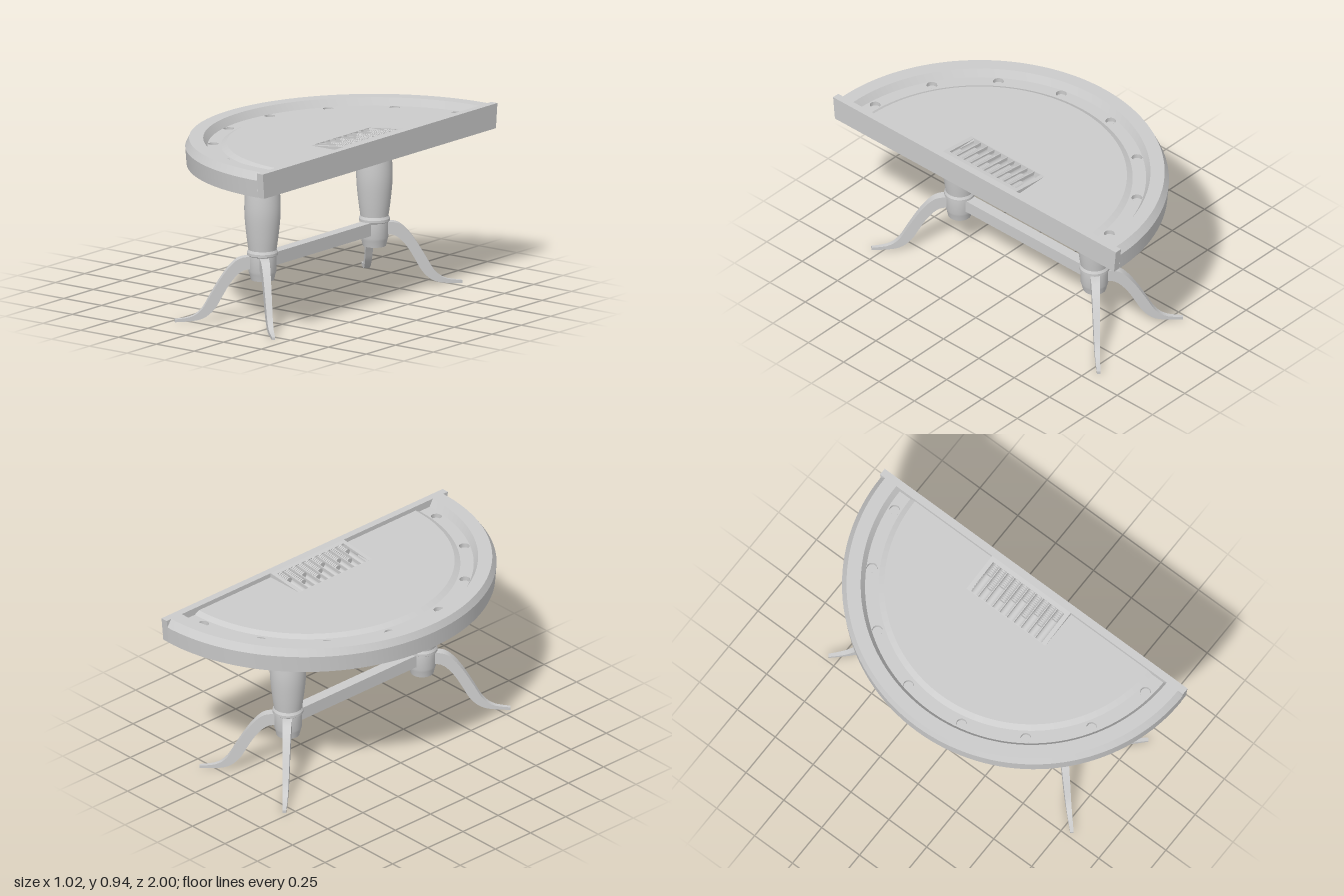
import * as THREE from 'three';
import { toCreasedNormals } from 'three/addons/utils/BufferGeometryUtils.js';

const material = new THREE.MeshStandardMaterial({ color: 0xcccccc, side: THREE.DoubleSide });
const EDGE = 0.47;   // x of the straight side, centre of the half circle
const LEDGE = 0.9;   // height of the cup ledge
const FELT = 0.916;  // height of the playing surface
const V = (x, y) => new THREE.Vector2(x, y);

function add(parent, name, geometry, x = 0, y = 0, z = 0) {
  const mesh = new THREE.Mesh(geometry, material);
  mesh.name = name;
  mesh.position.set(x, y, z);
  parent.add(mesh);
  return mesh;
}

const profile = points => points.map(p => V(...p));
const lathe = (points, segments) =>
  toCreasedNormals(new THREE.LatheGeometry(profile(points), segments), 0.45);
const halfLathe = points => new THREE.LatheGeometry(profile(points), 72, Math.PI, Math.PI);
const flat = shape => new THREE.ShapeGeometry(shape, 36).rotateX(-Math.PI / 2);

function rectangle(x0, x1, half) {
  return [V(x0, -half), V(x1, -half), V(x1, half), V(x0, half)];
}

function createTop() {
  const top = new THREE.Group();
  top.name = 'tableTop';

  // Underside, outer apron, chamfered rail and sloping inner wall;
  // the apron is slightly wider along z than the rail's upper edge
  const rail = halfLathe([
    [0, 0.807], [0.975, 0.807], [0.982, 0.9], [0.967, 0.94], [0.893, 0.94], [0.87, LEDGE]
  ]);
  const p = rail.attributes.position;
  for (let i = 0; i < p.count; i++) {
    if (Math.hypot(p.getX(i), p.getZ(i)) > 0.97) p.setZ(i, p.getZ(i) * 1.014);
  }
  add(top, 'rail', toCreasedNormals(rail, 0.3), EDGE);

  // Straight wall with slanted ends
  const wall = new THREE.Shape([V(-0.987, 0.807), V(0.987, 0.807), V(1, 0.94), V(-1, 0.94)]);
  add(top, 'straightWall',
    new THREE.ExtrudeGeometry(wall, { depth: 0.04, bevelEnabled: false }).rotateY(Math.PI / 2), EDGE);

  // Outer ledge with cup holes
  const ledge = new THREE.Shape();
  ledge.absarc(EDGE, 0, 0.872, Math.PI / 2, Math.PI * 1.5, false);
  ledge.absarc(EDGE, 0, 0.8, Math.PI * 1.5, Math.PI / 2, true);
  const cup = lathe([[0, 0], [0.028, 0], [0.028, 0.024]], 24);
  for (const [x, z] of [[0.372, 0.828], [0.045, 0.725], [-0.213, 0.49], [-0.355, 0.175]]) {
    for (const side of [-1, 1]) {
      const hole = new THREE.Path();
      hole.absarc(x, side * z, 0.028, 0, Math.PI * 2, true);
      ledge.holes.push(hole);
      add(top, 'cupHolder', cup, x, LEDGE - 0.024, side * z);
    }
  }
  add(top, 'ledge', flat(ledge), 0, LEDGE);

  // Raised playing surface, notched for the tray
  add(top, 'surfaceEdge', halfLathe([[0.8, LEDGE], [0.77, FELT]]), EDGE);
  const felt = new THREE.Shape();
  felt.absarc(EDGE, 0, 0.77, Math.PI / 2, Math.PI * 1.5, false);
  felt.lineTo(EDGE, -0.236);
  felt.lineTo(0.252, -0.236);
  felt.lineTo(0.252, 0.236);
  felt.lineTo(EDGE, 0.236);
  add(top, 'playingSurface', flat(felt), 0, FELT);

  top.add(createTray());
  return top;
}

function createTray() {
  const tray = new THREE.Group();
  tray.name = 'chipTray';
  const run = 0.22, rise = 0.94 - FELT, slope = Math.hypot(rise, run);

  // Side wedges carrying the tilted tray
  const wedge = new THREE.Shape([V(0, 0), V(run, 0), V(run, rise)]);
  const wedgeGeometry = new THREE.ExtrudeGeometry(wedge, { depth: 0.025, bevelEnabled: false });
  for (const z of [-0.26, 0.235]) add(tray, 'trayWedge', wedgeGeometry, 0.25, FELT, z);

  const tilted = new THREE.Group();
  tilted.name = 'tiltedTray';
  tilted.position.set(0.25, FELT, 0);
  tilted.rotation.z = Math.atan2(rise, run);
  tray.add(tilted);

  const frame = new THREE.Shape(rectangle(0, slope, 0.26));
  frame.holes.push(new THREE.Path(rectangle(0.004, 0.197, 0.235)));
  add(tilted, 'trayFrame', flat(frame));
  const end = new THREE.BoxGeometry(0.004, 0.04, 0.47);
  for (const x of [0.002, 0.199]) add(tilted, 'trayEnd', end, x, -0.0205);

  // Half-round troughs between dividers, each with a stack of chips on edge
  const rows = 10, pitch = 0.47 / rows, axis = -0.016;
  const trough = new THREE.CylinderGeometry(pitch / 2, pitch / 2, 0.194, 10, 1, true, 0, Math.PI)
    .rotateZ(-Math.PI / 2);
  const divider = new THREE.BoxGeometry(0.194, 0.018, 0.005);
  const chip = new THREE.CylinderGeometry(0.019, 0.019, 0.009, 14).rotateZ(Math.PI / 2);
  const counts = [6, 11, 7, 12, 9, 6, 12, 8, 11, 5];
  counts.forEach((count, i) => {
    const z = (i - (rows - 1) / 2) * pitch;
    add(tilted, 'trough', trough, 0.1005, axis, z);
    if (i > 0) add(tilted, 'divider', divider, 0.1005, -0.01, z - pitch / 2);
    for (let k = 0; k < count; k++) add(tilted, 'chip', chip, 0.191 - k * 0.0115, axis, z);
  });
  return tray;
}

// Curved leg: side outline extruded, then narrowed towards the foot
function legGeometry() {
  const upper = [[0.04, 0.345], [0.115, 0.338], [0.165, 0.303], [0.215, 0.24], [0.27, 0.15],
    [0.318, 0.07], [0.375, 0.028], [0.462, 0.015]];
  const lower = [[0.462, 0], [0.36, 0.006], [0.3, 0.025], [0.25, 0.072], [0.212, 0.138],
    [0.168, 0.21], [0.11, 0.268], [0.04, 0.28]];
  const smooth = points => new THREE.SplineCurve(profile(points)).getPoints(24);
  const outline = new THREE.Shape([...smooth(upper), ...smooth(lower)]);
  const geometry = new THREE.ExtrudeGeometry(outline, { depth: 1, bevelEnabled: false });
  geometry.translate(0, 0, -0.5);
  const p = geometry.attributes.position;
  for (let i = 0; i < p.count; i++) {
    p.setZ(i, p.getZ(i) * THREE.MathUtils.mapLinear(p.getX(i), 0.04, 0.462, 0.052, 0.018));
  }
  return toCreasedNormals(geometry, 0.5);
}

function createBase() {
  const base = new THREE.Group();
  base.name = 'base';
  // Turned column: foot knob, hub, collar and swelling shaft
  const shaft = new THREE.SplineCurve(
    profile([[0.074, 0.378], [0.084, 0.45], [0.094, 0.55], [0.095, 0.63], [0.088, 0.73], [0.073, 0.81]])
  ).getPoints(20).map(p => [p.x, p.y]);
  const column = lathe([[0, 0.215], [0.061, 0.215], [0.069, 0.25], [0.074, 0.265],
    [0.074, 0.345], [0.081, 0.35], [0.081, 0.364], ...shaft], 32);
  const leg = legGeometry();
  for (const side of [-1, 1]) {
    const z = side * 0.477;
    add(base, 'column', column, 0.102, 0, z);
    for (const dir of [-1, 1]) {
      add(base, 'leg', leg, 0.102, 0, z).rotation.y = Math.atan2(-side, dir);
    }
  }
  add(base, 'stretcher', new THREE.BoxGeometry(0.06, 0.07, 0.84), 0.102, 0.316, 0);
  return base;
}

export function createModel() {
  const model = new THREE.Group();
  model.name = 'halfRoundGamingTable';
  model.add(createTop(), createBase());
  return model;
}
